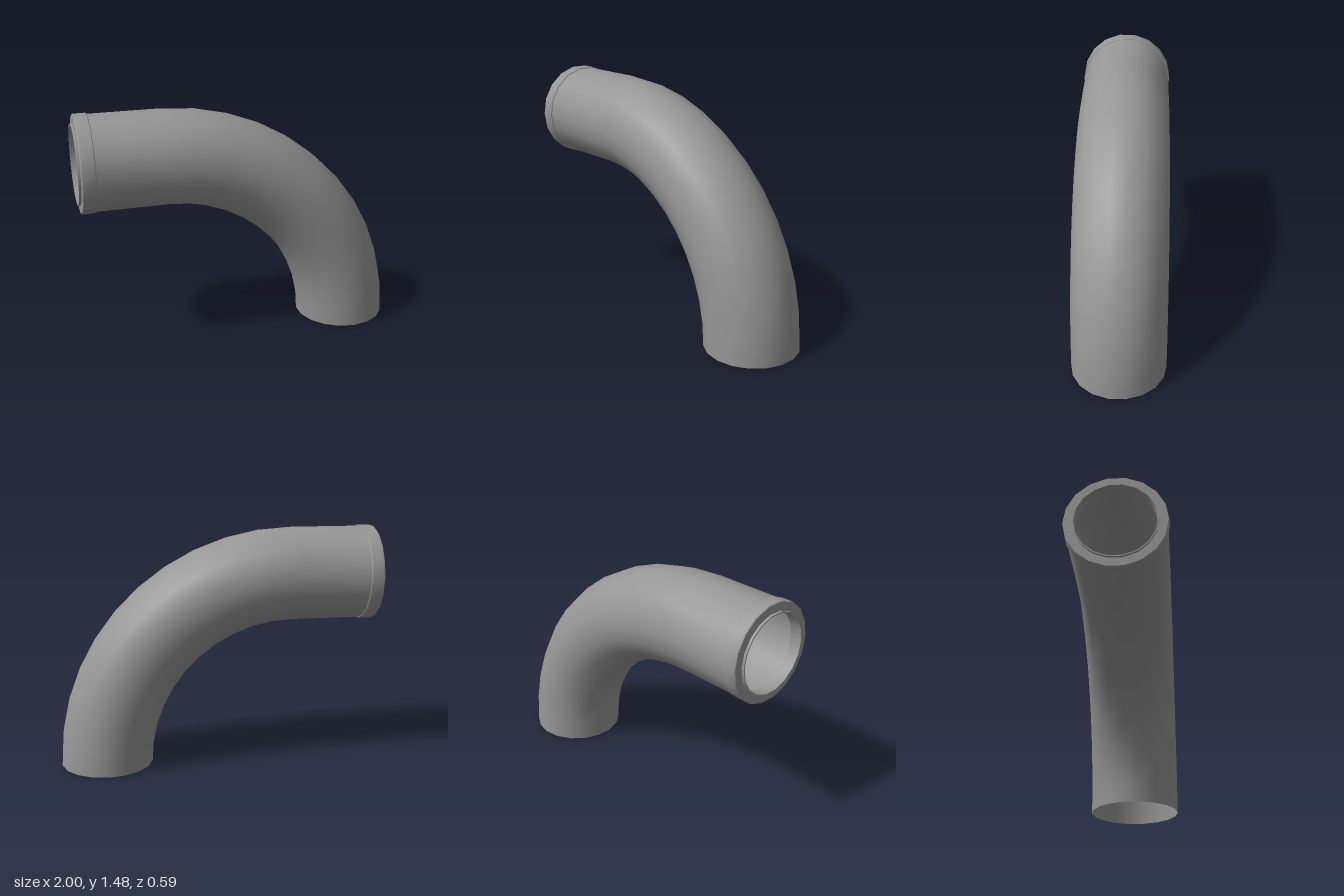
import * as THREE from 'three';
import { toCreasedNormals } from 'three/addons/utils/BufferGeometryUtils.js';

const SIDES = 18;
const PIPE_R = 0.29;
const BEND_R = 1.185;  // radius of the bend's centre line
const BEND_X = -0.47;  // bend centre, on the ground
const BEND_STEPS = 11;

// Rings swept round a quarter bend, then along a straight run to the collar
function pipeGeometry() {
  const positions = [], index = [];
  const rings = [];
  for (let k = 0; k <= BEND_STEPS; k++) {
    rings.push({ angle: (k / BEND_STEPS) * Math.PI / 2, shift: 0 });
  }
  rings.push({ angle: Math.PI / 2, shift: -0.91 - BEND_X });

  for (const { angle, shift } of rings) {
    for (let i = 0; i < SIDES; i++) {
      const a = ((i + 0.5) / SIDES) * Math.PI * 2;
      const r = BEND_R + PIPE_R * Math.cos(a);
      positions.push(BEND_X + shift + r * Math.cos(angle), r * Math.sin(angle), PIPE_R * Math.sin(a));
    }
  }
  for (let k = 0; k < rings.length - 1; k++) {
    for (let i = 0; i < SIDES; i++) {
      const j = (i + 1) % SIDES;
      const a = k * SIDES + i, b = k * SIDES + j;
      index.push(a, a + SIDES, b, b, a + SIDES, b + SIDES);
    }
  }
  const geometry = new THREE.BufferGeometry();
  geometry.setAttribute('position', new THREE.Float32BufferAttribute(positions, 3));
  geometry.setIndex(index);
  geometry.computeVertexNormals();
  return geometry;
}

// Band with a thin lip round the opening: [radius, distance along -x]
function collarGeometry() {
  const profile = [
    [0.287, 0.902], [0.293, 0.902], [0.297, 0.906], [0.297, 0.98], [0.293, 0.985],
    [0.242, 0.985], [0.242, 1], [0.235, 1], [0.235, 0.93], [0.287, 0.902],
  ].map(([r, d]) => new THREE.Vector2(r, d));
  const lathe = new THREE.LatheGeometry(profile, SIDES);
  lathe.rotateZ(Math.PI / 2);
  return toCreasedNormals(lathe, 0.6);
}

export function createModel() {
  const group = new THREE.Group();
  group.name = 'pipeElbow';
  const material = new THREE.MeshStandardMaterial({ color: 0x969696, side: THREE.DoubleSide });

  const pipe = new THREE.Mesh(pipeGeometry(), material);
  pipe.name = 'bentPipe';
  group.add(pipe);

  const collar = new THREE.Mesh(collarGeometry(), material);
  collar.name = 'endCollar';
  collar.position.y = BEND_R;
  group.add(collar);

  return group;
}
